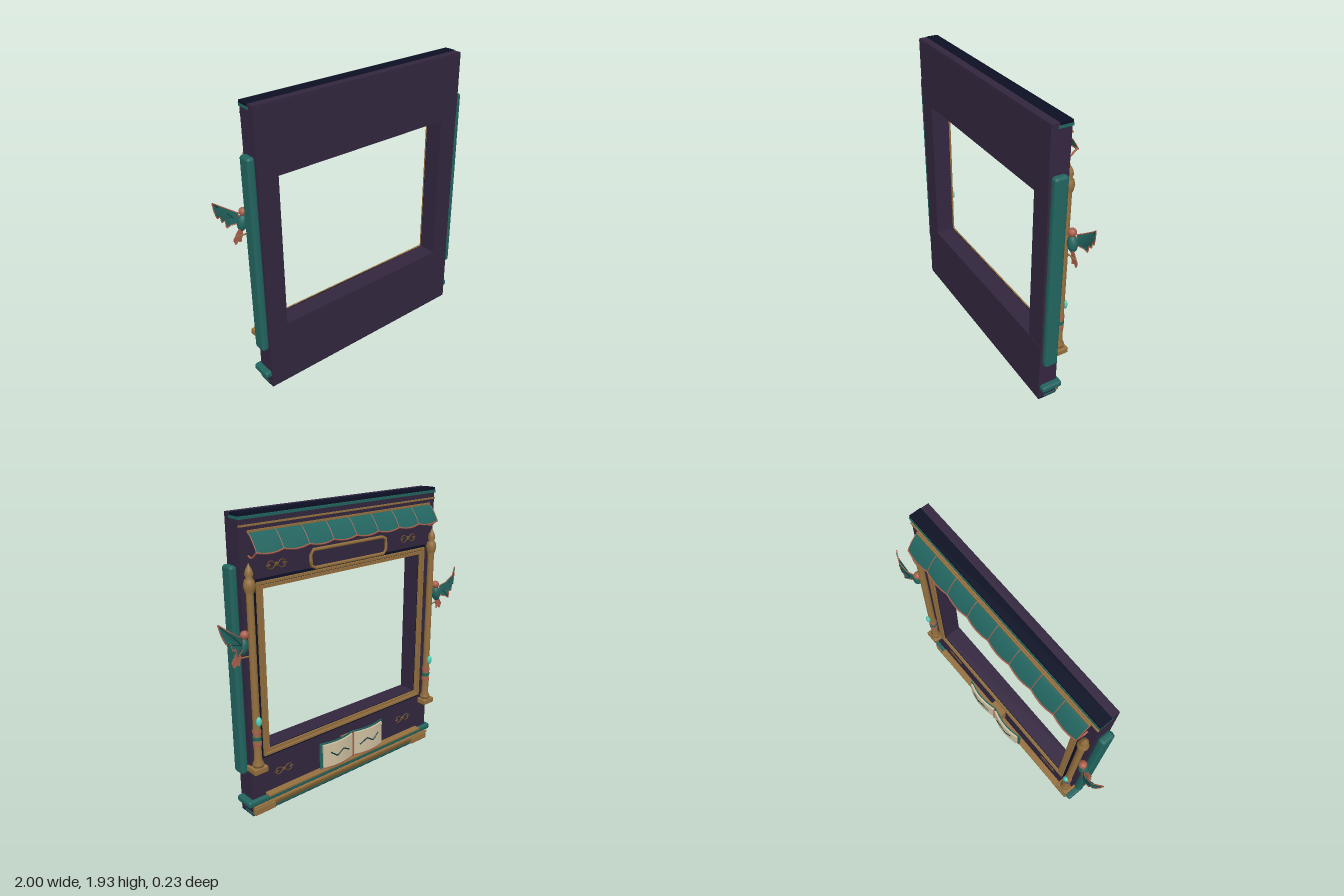
import * as THREE from 'three';
import { RoundedBoxGeometry } from 'three/addons/geometries/RoundedBoxGeometry.js';

const mat = (name, color, side = THREE.FrontSide) => {
  const m = new THREE.MeshStandardMaterial({ color, side });
  m.name = name;
  return m;
};

export function createModel() {
  const root = new THREE.Group();
  root.name = 'ornateFrame';
  const plum = mat('plum', 0x33263f);
  const navy = mat('navy', 0x0c1024);
  const teal = mat('teal', 0x22645f, THREE.DoubleSide);
  const gold = mat('gold', 0x94703f);
  const darkGold = mat('darkGold', 0x6c5128);
  const copper = mat('copper', 0xa85f4c, THREE.DoubleSide);
  const cream = mat('cream', 0xcfc0a0);
  const aqua = mat('aqua', 0x4fd0bc);
  const ink = mat('ink', 0x123c3a);

  const add = (name, geo, m, x = 0, y = 0, z = 0, parent = root) => {
    const mesh = new THREE.Mesh(geo, m);
    mesh.name = name;
    mesh.position.set(x, y, z);
    parent.add(mesh);
    return mesh;
  };
  // box given by its extents, optionally with rounded edges
  const box = (name, m, x0, x1, y0, y1, z0, z1, r = 0) => {
    const [w, h, d] = [x1 - x0, y1 - y0, z1 - z0];
    const g = r ? new RoundedBoxGeometry(w, h, d, 3, r) : new THREE.BoxGeometry(w, h, d);
    return add(name, g, m, (x0 + x1) / 2, (y0 + y1) / 2, (z0 + z1) / 2);
  };
  const tube = (name, m, pts, r, closed = false, smooth = false) => {
    const v = pts.map(p => new THREE.Vector3(...p));
    const curve = new THREE.CatmullRomCurve3(v, closed, 'catmullrom', smooth ? 0.5 : 0);
    return add(name, new THREE.TubeGeometry(curve, pts.length * 5, r, 6, closed), m);
  };
  // rectangular border with an open middle
  const border = (name, m, hw, y0, y1, t, z0, z1) => {
    const rect = (P, w, a, b) => {
      const p = new P();
      p.moveTo(-w, a); p.lineTo(w, a); p.lineTo(w, b); p.lineTo(-w, b); p.closePath();
      return p;
    };
    const s = rect(THREE.Shape, hw, y0, y1);
    s.holes.push(rect(THREE.Path, hw - t, y0 + t, y1 - t));
    add(name, new THREE.ExtrudeGeometry(s, { depth: z1 - z0, bevelEnabled: false }), m, 0, 0, z0);
  };

  // main carcass
  box('lowerPanel', plum, -0.8, 0.8, 0.006, 0.45, -0.015, 0.115);
  box('upperPanel', plum, -0.8, 0.8, 1.49, 1.922, -0.015, 0.115);
  box('topFrontLip', plum, -0.8, 0.8, 1.92, 1.932, 0.06, 0.113);
  box('topCap', navy, -0.802, 0.802, 1.918, 1.935, -0.02, 0.06);
  box('bottomCap', navy, -0.8, 0.8, 0, 0.008, -0.015, 0.112);
  box('topTealStrip', teal, -0.803, 0.803, 1.9, 1.917, -0.024, 0.07);
  box('topGoldStrip', gold, -0.8, 0.8, 1.858, 1.868, -0.025, -0.014);
  box('bottomTealStrip', teal, -0.803, 0.803, 0.009, 0.024, -0.022, 0.07);

  for (const s of [-1, 1]) {
    const side = (name, m, a, b, ...rest) => box(name, m, Math.min(s * a, s * b), Math.max(s * a, s * b), ...rest);
    side('sidePost', plum, 0.66, 0.8, 0.45, 1.49, -0.015, 0.112);
    side('sideRail', teal, 0.798, 0.85, 0.305, 1.64, 0.012, 0.105, 0.02);
    side('cornerBlock', gold, 0.64, 0.8, 0.012, 0.062, -0.042, -0.012, 0.006);
    side('columnFoot', gold, 0.715, 0.815, 0.33, 0.37, -0.085, 0.012, 0.006);

    // turned column with finial
    const profile = [[0.001, 0.365], [0.036, 0.37], [0.036, 0.39], [0.026, 0.41], [0.024, 0.5],
      [0.022, 1.48], [0.03, 1.5], [0.036, 1.53], [0.03, 1.56], [0.018, 1.575], [0.026, 1.595],
      [0.02, 1.62], [0.007, 1.645], [0.001, 1.66]].map(p => new THREE.Vector2(...p));
    const cx = s * 0.762, cz = -0.043;
    add('column', new THREE.LatheGeometry(profile, 20), gold, cx, 0, cz);
    [[0.525, copper], [0.565, teal], [0.605, copper]].forEach(([y, m]) =>
      add('columnBand', new THREE.CylinderGeometry(0.028, 0.028, 0.022, 20), m, cx, y, cz));
    add('columnGem', new THREE.SphereGeometry(0.02, 16, 12), aqua, cx, 0.685, -0.074).scale.set(1, 1.6, 0.75);

    // bird with raised wing
    const bird = (name, geo, m, x, y, z) => add(name, geo, m, s * x, y, z);
    const body = bird('birdBody', new THREE.SphereGeometry(0.034, 16, 12), teal, 0.828, 1.18, -0.048);
    body.scale.set(0.95, 1.6, 0.9);
    body.rotation.z = s * 0.2;
    bird('birdHead', new THREE.SphereGeometry(0.027, 16, 12), copper, 0.816, 1.248, -0.05);
    const beak = bird('birdBeak', new THREE.ConeGeometry(0.009, 0.035, 8), gold, 0.786, 1.25, -0.055);
    beak.rotation.z = s * Math.PI / 2;
    const flat = pts => {
      const sh = new THREE.Shape(pts.map(p => new THREE.Vector2(s * p[0], p[1])));
      return new THREE.ShapeGeometry(sh);
    };
    const wing = [[0.84, 1.24], [0.88, 1.263], [0.94, 1.305], [0.998, 1.355], [0.985, 1.29], [0.965, 1.235],
      [0.94, 1.235], [0.932, 1.19], [0.91, 1.2], [0.905, 1.145], [0.88, 1.16], [0.84, 1.17]];
    const bend = x => -0.06 - 0.042 * Math.sin(Math.PI * Math.min(1, (x - 0.83) / 0.18));
    const wingGeo = flat(wing);
    const wp = wingGeo.attributes.position;
    for (let i = 0; i < wp.count; i++) wp.setZ(i, bend(Math.abs(wp.getX(i))));
    wingGeo.computeVertexNormals();
    add('birdWing', wingGeo, teal);
    tube('wingEdge', copper, wing.map(([x, y]) => [s * x, y, bend(x)]), 0.0035, true);
    [[0.99, 1.34], [0.96, 1.24], [0.905, 1.15]].forEach(([x, y]) =>
      tube('wingQuill', ink, [[s * 0.86, 1.205, bend(0.86) - 0.003],
        [s * (0.43 + x / 2), (1.205 + y) / 2, bend(0.43 + x / 2) - 0.003], [s * x, y, bend(x) - 0.003]], 0.003));
    const tail = [[0.835, 1.14], [0.862, 1.15], [0.903, 1.09], [0.89, 1.055], [0.872, 1.075], [0.855, 1.06]];
    add('birdTail', flat(tail), copper, 0, 0, -0.036);
    tube('tailEdge', copper, tail.map(([x, y]) => [s * x, y, -0.036]), 0.003, true);
    tube('perch', gold, [[s * 0.75, 1.1, -0.032], [s * 0.82, 1.105, -0.032], [s * 0.895, 1.11, -0.032]], 0.005);

    // scroll ornaments
    for (const y of [0.255, 1.615]) {
      add('ornamentCentre', new THREE.SphereGeometry(0.014, 10, 8), darkGold, s * 0.55, y, -0.017).scale.z = 0.4;
      for (const d of [-1, 1]) {
        for (const v of [-1, 1]) {
          tube('ornamentScroll', darkGold, [[0.01, 0.004], [0.03, 0.022], [0.055, 0.02], [0.062, 0.006], [0.045, 0.004], [0.075, -0.002]]
            .map(([x, h]) => [s * 0.55 + d * x, y + v * h, -0.017]), 0.003, false, true);
        }
      }
    }
    // awning end bracket
    tube('awningBracket', copper, [[s * 0.74, 1.69, -0.015], [s * 0.74, 1.685, -0.05], [s * 0.74, 1.725, -0.1]], 0.006, false, true);
  }

  // mouldings round the opening
  border('backingBorder', navy, 0.722, 0.39, 1.548, 0.06, -0.019, -0.012);
  border('outerBorder', gold, 0.705, 0.408, 1.532, 0.015, -0.034, -0.015);
  border('innerBorder', gold, 0.682, 0.43, 1.51, 0.02, -0.03, -0.012);

  // blank title plate
  box('titlePlate', plum, -0.31, 0.31, 1.555, 1.66, -0.038, -0.012);
  const hw = 0.315, y0 = 1.553, y1 = 1.665, c = 0.02, pz = -0.042;
  tube('titleRim', gold, [[-hw + c, y0, pz], [hw - c, y0, pz], [hw, y0 + c, pz], [hw, y1 - c, pz],
    [hw - c, y1, pz], [-hw + c, y1, pz], [-hw, y1 - c, pz], [-hw, y0 + c, pz]], 0.011, true);

  // base mouldings
  box('baseBeam', teal, -0.84, 0.84, 0.078, 0.122, -0.038, 0.105, 0.015);
  box('baseLedge', gold, -0.7, 0.7, 0.12, 0.14, -0.06, -0.012, 0.006);
  box('baseGoldLine', gold, -0.8, 0.8, 0.066, 0.076, -0.045, -0.012);
  box('baseLowerLine', darkGold, -0.64, 0.64, 0.03, 0.042, -0.03, -0.012);

  // scalloped awning
  const slope = new THREE.CatmullRomCurve3([[1.828, -0.018], [1.812, -0.042], [1.78, -0.07], [1.742, -0.094], [1.722, -0.104]]
    .map(([y, z]) => new THREE.Vector3(0, y, z)));
  const n = 8, w = 1.488 / n;
  const cloth = (u, t) => {
    const p = slope.getPoint(t), b = Math.sin(Math.PI * u) * t;
    return [p.y - 0.012 * b, p.z - 0.009 * b];
  };
  for (let i = 0; i < n; i++) {
    const xl = -0.744 + i * w;
    const g = new THREE.PlaneGeometry(1, 1, 8, 8);
    const p = g.attributes.position;
    for (let k = 0; k < p.count; k++) {
      const u = p.getX(k) + 0.5, t = 0.5 - p.getY(k);
      p.setXYZ(k, xl + u * w, ...cloth(u, t));
    }
    g.computeVertexNormals();
    add('awningPanel', g, teal);
    const us = [0, 0.25, 0.5, 0.75, 1];
    tube('awningHem', copper, us.map(u => [xl + u * w, ...cloth(u, 1)]), 0.005);
  }
  for (let i = 0; i <= n; i++) {
    tube('awningSeam', copper, [0, 0.25, 0.5, 0.75, 1].map(t => [-0.744 + i * w, ...cloth(0, t)]), 0.003);
  }
  box('awningRail', gold, -0.745, 0.745, 1.823, 1.835, -0.028, -0.012);

  // open book
  const leaf = x => -0.07 - 0.024 * Math.sin(Math.PI * Math.min(1, Math.abs(x) / 0.29));
  const bent = (name, m, x0, x1, a, b, depth, off) => {
    const g = new THREE.BoxGeometry(x1 - x0, b - a, depth, 10, 1, 1);
    g.translate((x0 + x1) / 2, (a + b) / 2, off);
    const p = g.attributes.position;
    for (let k = 0; k < p.count; k++) p.setZ(k, p.getZ(k) + leaf(p.getX(k)));
    g.computeVertexNormals();
    add(name, g, m);
  };
  for (const s of [-1, 1]) {
    const span = (a, b) => (s > 0 ? [a, b] : [-b, -a]);
    bent('bookCover', teal, ...span(0.004, 0.285), 0.165, 0.355, 0.008, 0.008);
    bent('bookPages', cream, ...span(0.008, 0.268), 0.178, 0.345, 0.014, -0.003);
    tube('pageLine', ink, [[0.22, 0.285], [0.165, 0.245], [0.11, 0.28], [0.05, 0.245]]
      .map(([x, y]) => [s * x, y, leaf(x) - 0.011]), 0.005);
    tube('coverEdge', copper, [0.01, 0.08, 0.15, 0.22, 0.285].map(x => [s * x, 0.165, leaf(x) + 0.005]), 0.005);
  }
  tube('bookSpine', copper, [[0, 0.165, -0.078], [0, 0.26, -0.078], [0, 0.355, -0.078]], 0.007);
  box('bookSupport', gold, -0.06, 0.06, 0.2, 0.32, -0.062, -0.012);

  return root;
}
